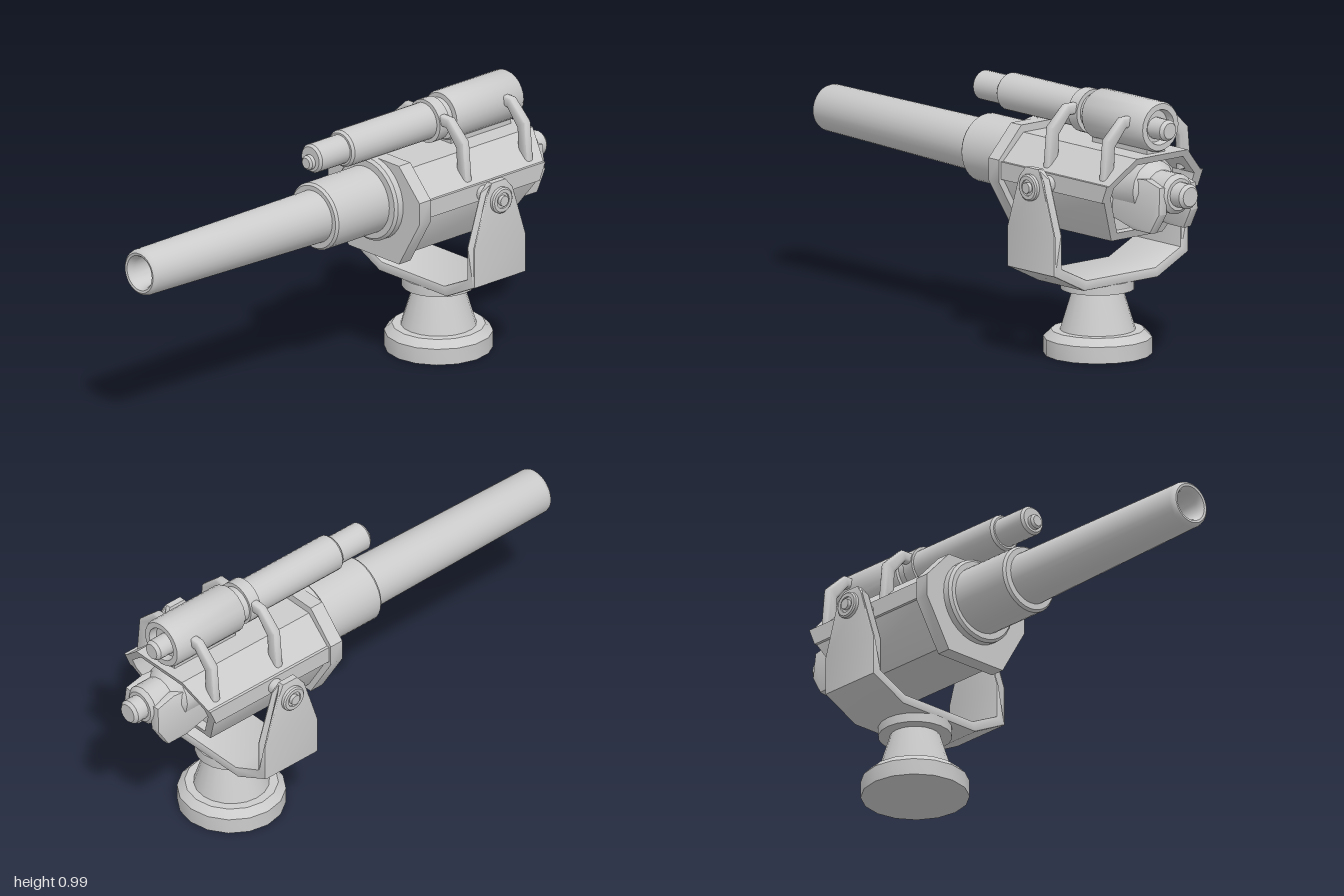
import * as THREE from 'three';
import { toCreasedNormals } from 'three/addons/utils/BufferGeometryUtils.js';

export function createModel() {
  const model = new THREE.Group();
  const material = new THREE.MeshStandardMaterial({ color: 0xcccccc });

  const add = (name, geometry, x = 0, y = 0, z = 0, crease = 0.6) => {
    const mesh = new THREE.Mesh(toCreasedNormals(geometry, crease), material);
    mesh.name = name;
    mesh.position.set(x, y, z);
    model.add(mesh);
    return mesh;
  };
  const toVectors = (points) => points.map(([a, b]) => new THREE.Vector2(a, b));
  // Turned part from [radius, height] pairs, bottom to top
  const turned = (points, sides = 24) => new THREE.LatheGeometry(toVectors(points), sides);
  // Turned part lying along z, listed from back to front
  const turnedZ = (points, sides) => turned(points, sides).rotateX(Math.PI / 2);
  // Symmetric outline from its +x half, listed bottom to top
  const mirrored = (half) => toVectors([...half, ...half.map(([x, y]) => [-x, y]).reverse()]);
  // Straight extrusion between two z values
  const slab = (shape, back, front, bevel = 0) =>
    new THREE.ExtrudeGeometry(shape, {
      depth: front - back - 2 * bevel, bevelEnabled: bevel > 0,
      bevelSize: bevel, bevelOffset: -bevel, bevelThickness: bevel, bevelSegments: 2,
    }).translate(0, 0, back + bevel);

  // Pedestal
  const pivotZ = -0.49;
  add('pedestalBase', turned([[0, 0], [0.2, 0], [0.2, 0.062], [0.172, 0.09], [0, 0.09]], 16), 0, 0, pivotZ);
  add('pedestalCone', turned([[0.14, 0.088], [0.092, 0.245]], 20), 0, 0, pivotZ);
  add('pedestalCap', turned([[0, 0.242], [0.136, 0.242], [0.136, 0.28], [0, 0.28]], 20), 0, 0, pivotZ);

  // Yoke: U-shaped strap whose arms narrow towards the top
  const yokeShape = new THREE.Shape(toVectors([
    [-0.18, 0.277], [0.18, 0.277], [0.33, 0.352], [0.33, 0.5], [0.33, 0.7], [0.322, 0.737],
    [0.298, 0.737], [0.29, 0.7], [0.29, 0.5], [0.29, 0.375], [0.168, 0.316],
    [-0.168, 0.316], [-0.29, 0.375], [-0.29, 0.5], [-0.29, 0.7], [-0.298, 0.737],
    [-0.322, 0.737], [-0.33, 0.7], [-0.33, 0.5], [-0.33, 0.352],
  ]));
  const yoke = slab(yokeShape, -0.13, 0.13, 0.006);
  const yokePos = yoke.attributes.position;
  for (let i = 0; i < yokePos.count; i++) {
    const y = yokePos.getY(i);
    const taper = y < 0.5 ? 1 : y < 0.71 ? 1 - 0.5 * (y - 0.5) / 0.2 : 0.28;
    yokePos.setZ(i, yokePos.getZ(i) * taper);
  }
  add('yoke', yoke, 0, 0, pivotZ);

  // Trunnions with stepped outer caps
  for (const side of [-1, 1]) {
    const trunnion = turned([
      [0.03, 0.21], [0.03, 0.285], [0.03, 0.33], [0.05, 0.33], [0.05, 0.342], [0.044, 0.347],
      [0.03, 0.347], [0.03, 0.34], [0.02, 0.34], [0.02, 0.354], [0, 0.354],
    ], 20).rotateZ(-side * Math.PI / 2);
    add(side > 0 ? 'leftTrunnion' : 'rightTrunnion', trunnion, 0, 0.667, pivotZ);
  }

  // Housing: hollow eight-sided tube with a slanted rear opening
  const outer = [[0.125, 0.47], [0.225, 0.64], [0.225, 0.705], [0.125, 0.8]];
  const inner = [[0.108, 0.5], [0.197, 0.65], [0.197, 0.695], [0.112, 0.774]];
  const slantRear = (geometry) => {
    const p = geometry.attributes.position;
    for (let i = 0; i < p.count; i++) {
      if (p.getZ(i) < -0.5) p.setZ(i, -0.705 - (p.getY(i) - 0.47) * 0.424);
    }
    return geometry;
  };
  const housingShape = new THREE.Shape(mirrored(outer));
  housingShape.holes.push(new THREE.Path(mirrored(inner)));
  add('housing', slantRear(slab(housingShape, -0.7, -0.2)));
  add('housingBulkhead', slab(new THREE.Shape(mirrored(inner)), -0.68, -0.64));
  add('frontPlate', slab(new THREE.Shape(mirrored([[0.135, 0.443], [0.245, 0.628], [0.245, 0.712], [0.135, 0.828]])), -0.222, -0.165));
  for (const side of [-1, 1]) {
    const rail = new THREE.BoxGeometry(0.016, 0.066, 0.58).translate(side * 0.228, 0.672, -0.5);
    add('sideRail', slantRear(rail));
  }

  // Breech block, knob and side lugs
  const axisY = 0.665;
  add('breechBlock', turnedZ([[0, -0.94], [0.06, -0.94], [0.076, -0.925], [0.076, -0.84], [0.105, -0.8], [0.105, -0.66]], 16), 0, axisY);
  add('breechKnob', turnedZ([[0, -1], [0.036, -1], [0.047, -0.988], [0.047, -0.93]], 16), 0, axisY);
  const lugShape = new THREE.Shape(toVectors([[0.66, 0.56], [0.8, 0.525], [0.89, 0.525], [0.935, 0.6], [0.93, 0.7], [0.85, 0.72], [0.66, 0.7]]));
  for (const side of [-1, 1]) {
    const lug = slab(lugShape, -0.02, 0.02, 0.005).rotateY(Math.PI / 2);
    add('breechLug', lug, side * 0.125, 0, 0).rotation.z = side * 0.08;
  }

  // Barrel assembly, with a rounded muzzle and open bore
  add('barrelCollar', turnedZ([[0, -0.17], [0.16, -0.17], [0.16, -0.14], [0.15, -0.13], [0, -0.13]], 32), -0.002, 0.67);
  add('barrelSleeve', turnedZ([[0.128, -0.14], [0.128, 0.122], [0.12, 0.132], [0.09, 0.132]], 32), -0.007, 0.668);
  const barrel = add('barrel', turnedZ([
    [0.1, 0.1], [0.088, 0.98], [0.084, 0.993], [0.076, 1], [0.067, 0.998], [0.06, 0.988], [0.055, 0.97], [0.053, 0.85], [0, 0.85],
  ], 32), -0.003, 0.67, 0);
  barrel.rotation.set(-0.006, -0.009, 0);

  // Sighting telescope above the housing
  const scopeY = 0.9;
  add('scopeBody', turnedZ([
    [0, -0.805], [0.06, -0.805], [0.066, -0.835], [0.088, -0.835], [0.094, -0.825], [0.094, -0.51], [0.088, -0.5], [0, -0.5],
  ]), 0, scopeY);
  add('scopeEyepiece', turnedZ([[0, -0.885], [0.03, -0.885], [0.04, -0.872], [0.04, -0.8]], 16), -0.002, 0.893);
  add('scopeTube', turnedZ([[0.07, -0.51], [0.07, -0.01], [0.062, 0], [0.04, 0]]), -0.004, scopeY);
  add('scopeRing', turnedZ([[0.06, -0.468], [0.083, -0.468], [0.083, -0.42], [0.06, -0.42]]), 0, scopeY);
  add('scopeNose', turnedZ([[0.055, -0.02], [0.055, 0.138], [0.047, 0.148], [0, 0.148]]), -0.005, scopeY);
  add('scopeTip', turnedZ([[0.028, 0.14], [0.028, 0.163], [0.02, 0.171], [0, 0.171]], 16), -0.005, 0.889);
  add('scopeSaddle', new THREE.BoxGeometry(0.09, 0.04, 0.3), 0, 0.805, -0.66);

  // Bent bracket arms joining telescope and housing
  const armShape = (side) => new THREE.Shape(toVectors([
    [0.05, 0.94], [0.12, 0.94], [0.2, 0.866], [0.215, 0.705], [0.165, 0.705],
    [0.158, 0.835], [0.105, 0.898], [0.05, 0.898],
  ].map(([x, y]) => [side * x, y])));
  for (const z of [-0.443, -0.75]) {
    for (const side of [-1, 1]) {
      add('scopeBracket', slab(armShape(side), z - 0.018, z + 0.018, 0.011), 0, 0, 0, 0.9);
    }
  }

  return model;
}
